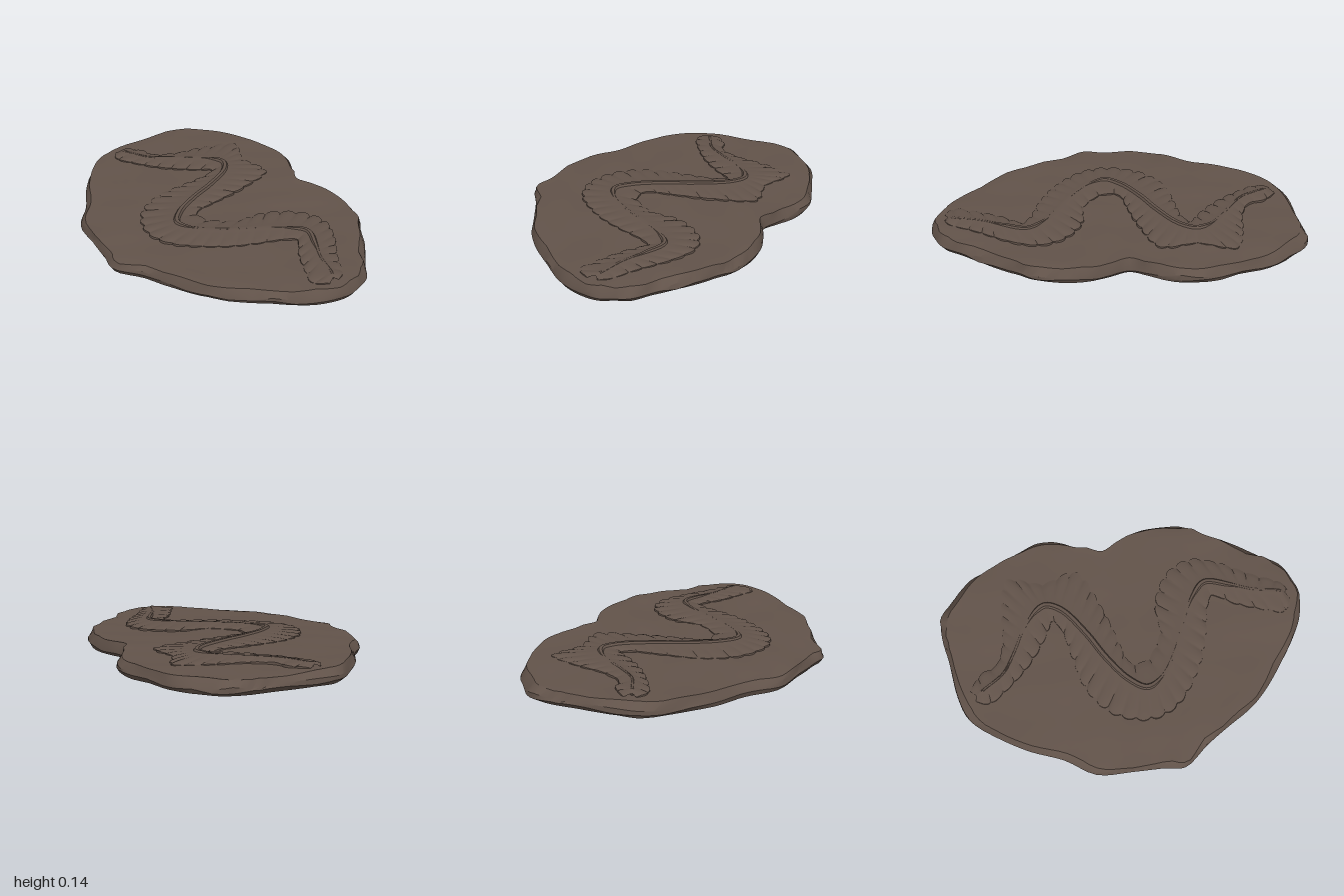
import * as THREE from 'three';
import { toCreasedNormals } from 'three/addons/utils/BufferGeometryUtils.js';

// slab outline, x and z pairs
const OUTLINE = [
  0.30, -1.0, 0.43, -0.98, 0.53, -0.88, 0.61, -0.78, 0.65, -0.66, 0.70, -0.51, 0.735, -0.37,
  0.71, -0.24, 0.645, -0.12, 0.60, -0.02, 0.635, 0.08, 0.67, 0.21, 0.667, 0.34, 0.63, 0.48,
  0.56, 0.57, 0.50, 0.67, 0.42, 0.77, 0.35, 0.85, 0.28, 0.94, 0.19, 0.98, 0.1, 1.0,
  -0.05, 0.965, -0.18, 0.88, -0.285, 0.79, -0.40, 0.68, -0.49, 0.57, -0.57, 0.41, -0.645, 0.265,
  -0.735, 0.116, -0.71, 0, -0.69, -0.16, -0.655, -0.355, -0.54, -0.50, -0.445, -0.67, -0.33, -0.82,
  -0.19, -0.95, -0.05, -0.985, 0.16, -0.99,
];

// body stations: spine x z, left edge x z, right edge x z
const BODY = [
  [-0.09, -0.88, -0.05, -0.91, -0.12, -0.89], [-0.06, -0.82, 0.03, -0.83, -0.15, -0.82],
  [0, -0.71, 0.06, -0.74, -0.1, -0.72], [0.1, -0.63, 0.18, -0.68, 0, -0.58],
  [0.22, -0.55, 0.36, -0.65, 0.09, -0.49], [0.31, -0.46, 0.54, -0.58, 0.18, -0.42],
  [0.33, -0.40, 0.47, -0.39, 0.23, -0.39], [0.28, -0.32, 0.49, -0.19, 0.19, -0.355],
  [0.11, -0.22, 0.25, -0.1, 0, -0.33], [-0.05, -0.15, 0.05, -0.06, -0.2, -0.3],
  [-0.2, -0.06, -0.1, -0.03, -0.37, -0.19], [-0.27, 0.03, -0.12, 0.03, -0.45, 0],
  [-0.23, 0.12, -0.1, 0.08, -0.41, 0.16], [-0.1, 0.23, 0.02, 0.17, -0.23, 0.33],
  [0.06, 0.32, 0.2, 0.19, -0.05, 0.42], [0.19, 0.41, 0.36, 0.3, 0.1, 0.47],
  [0.25, 0.49, 0.41, 0.44, 0.16, 0.51], [0.2, 0.62, 0.36, 0.58, 0.08, 0.63],
  [0.14, 0.74, 0.23, 0.77, 0, 0.79], [0.1, 0.87, 0.15, 0.9, -0.03, 0.88],
  [0.08, 0.91, 0.1, 0.93, 0.04, 0.93],
];

const curveOf = (pts, closed) => new THREE.CatmullRomCurve3(pts.map(([x, z]) => new THREE.Vector3(x, 0, z)), closed);
const smooth = THREE.MathUtils.smoothstep;
const hash = (n) => { const s = Math.sin(n * 127.1 + 3.7) * 43758.5453; return s - Math.floor(s); };

// skin over rows of [x, y, z] points
function skin(rows, wrap, crease) {
  const w = rows[0].length, index = [];
  for (let i = 0; i < rows.length - 1; i++) {
    for (let j = 0; j < (wrap ? w : w - 1); j++) {
      const k = (j + 1) % w;
      const a = i * w + j, b = i * w + k, c = b + w, d = a + w;
      index.push(a, b, c, a, c, d);
    }
  }
  const geo = new THREE.BufferGeometry();
  geo.setAttribute('position', new THREE.Float32BufferAttribute(rows.flat(2), 3));
  geo.setIndex(index);
  return toCreasedNormals(geo, crease);
}

// gentle undulation of the slab's upper face
const ripple = (x, z) => 0.004 * Math.sin(7 * x + 4 * z + 1) * Math.sin(6 * z - 3 * x)
  + 0.0025 * Math.sin(17 * x - 9 * z) * Math.cos(13 * z + 5 * x);

function slabGeometry() {
  const pts = [];
  for (let i = 0; i < OUTLINE.length; i += 2) pts.push([OUTLINE[i], OUTLINE[i + 1]]);
  const n = pts.length * 4;
  const rim = curveOf(pts, true).getPoints(n).slice(0, n);
  // straight-sided chips around the rim
  const chip = (j, seed) => {
    const t = j / 3, k = Math.floor(t), m = n / 3;
    const at = (q) => hash((q % Math.floor(m)) + seed);
    return THREE.MathUtils.lerp(at(k), at(k + 1), t - k);
  };
  const rows = [];
  const ring = (scale, y, cut, seed) => rows.push(rim.map((p, j) => {
    const s = scale - cut * chip(j, seed);
    const x = p.x * s, z = p.z * s;
    return [x, typeof y === 'function' ? y(x, z, j) : y, z];
  }));
  const top = (x, z) => 0.112 + ripple(x, z) - 0.012 * smooth(-x, 0.45, 0.75);
  for (const s of [0, 0.1, 0.2, 0.3, 0.4, 0.5, 0.6, 0.7, 0.78, 0.86, 0.92]) ring(s, top, 0, 0);
  ring(0.985, (x, z, j) => top(x, z) + 0.008 * (chip(j, 50) - 0.6), 0.035, 10);
  ring(1, (x, z, j) => 0.085 - 0.02 * chip(j, 90), 0.012, 20);
  ring(1, (x, z, j) => 0.05 + 0.015 * chip(j, 70), 0, 30);
  ring(0.99, 0.036, 0.02, 40);
  ring(0, 0.036, 0, 0);
  return skin(rows, true, 0.5);
}

const spine = curveOf(BODY.map((s) => [s[0], s[1]]));
const leftEdge = curveOf(BODY.map((s) => [s[2], s[3]]));
const rightEdge = curveOf(BODY.map((s) => [s[4], s[5]]));

// body relief: scalloped lobes on both sides of the spine
function bodyGeometry() {
  const N = 460, rows = [];
  const sides = [leftEdge, rightEdge].map((curve) => ({ curve, length: 0, last: curve.getPoint(0) }));
  const steps = [0.12, 0.3, 0.5, 0.7, 0.85, 0.95, 1];
  for (let i = 0; i <= N; i++) {
    const u = i / N, c = spine.getPoint(u);
    const ends = smooth(u, 0, 0.03) * smooth(1 - u, 0, 0.03);
    const halves = sides.map((side) => {
      const e = side.curve.getPoint(u);
      side.length += e.distanceTo(side.last);
      side.last = e;
      const lobe = Math.sqrt(Math.abs(Math.sin(Math.PI * side.length / 0.085)));
      const reach = 0.87 + 0.13 * lobe;
      const at = (s, y) => [c.x + (e.x - c.x) * s * reach, y, c.z + (e.z - c.z) * s * reach];
      const half = steps.map((s) => at(s, 0.124 + 0.01 * ends * (1 - s)
        - 0.007 * (1 - lobe) * smooth(s, 0.2, 0.8) - 0.004 * smooth(s, 0.8, 1)));
      half.push(at(1.01, 0.095));
      return half;
    });
    rows.push([...halves[0].reverse(), [c.x, 0.126 + 0.01 * ends, c.z], ...halves[1]]);
  }
  return skin(rows, false, 0.7);
}

// narrow grooved rib, deep enough at the bends to show beneath the slab
function ribGeometry() {
  const N = 200, M = 16, rows = [];
  for (let i = 0; i <= N; i++) {
    const u = i / N, k = u * (BODY.length - 1);
    const c = spine.getPoint(u), t = spine.getTangent(u);
    const end = Math.sqrt(Math.min(1, u / 0.03, (1 - u) / 0.03));
    const bend = Math.max(smooth(k, 4.2, 5.4) * (1 - smooth(k, 11, 12.3)),
      0.8 * smooth(k, 14.4, 15.6) * (1 - smooth(k, 16.6, 17.6)));
    const high = 0.137 + 0.01 * bend, low = 0.055 - 0.055 * bend;
    const mid = (high + low) / 2, half = (high - low) / 2, width = (0.014 + 0.01 * bend) * end;
    const row = [];
    for (let j = 0; j < M; j++) {
      const a = j / M * Math.PI * 2, side = Math.sin(a) * width;
      const cos = Math.cos(a), flat = Math.sign(cos) * Math.pow(Math.abs(cos), 0.6);
      row.push([c.x - t.z * side, mid + half * end * flat - (j === 0 ? 0.005 : 0), c.z + t.x * side]);
    }
    rows.push(row);
  }
  return skin(rows, true, 0.8);
}

export function createModel() {
  const stone = new THREE.MeshStandardMaterial({ color: 0x62534a });
  stone.name = 'brown stone';
  stone.side = THREE.DoubleSide;
  const group = new THREE.Group();
  group.name = 'fossilSlab';
  const parts = { slab: slabGeometry(), lobedBody: bodyGeometry(), spineRib: ribGeometry() };
  for (const [name, geometry] of Object.entries(parts)) {
    const mesh = new THREE.Mesh(geometry, stone);
    mesh.name = name;
    group.add(mesh);
  }
  return group;
}
